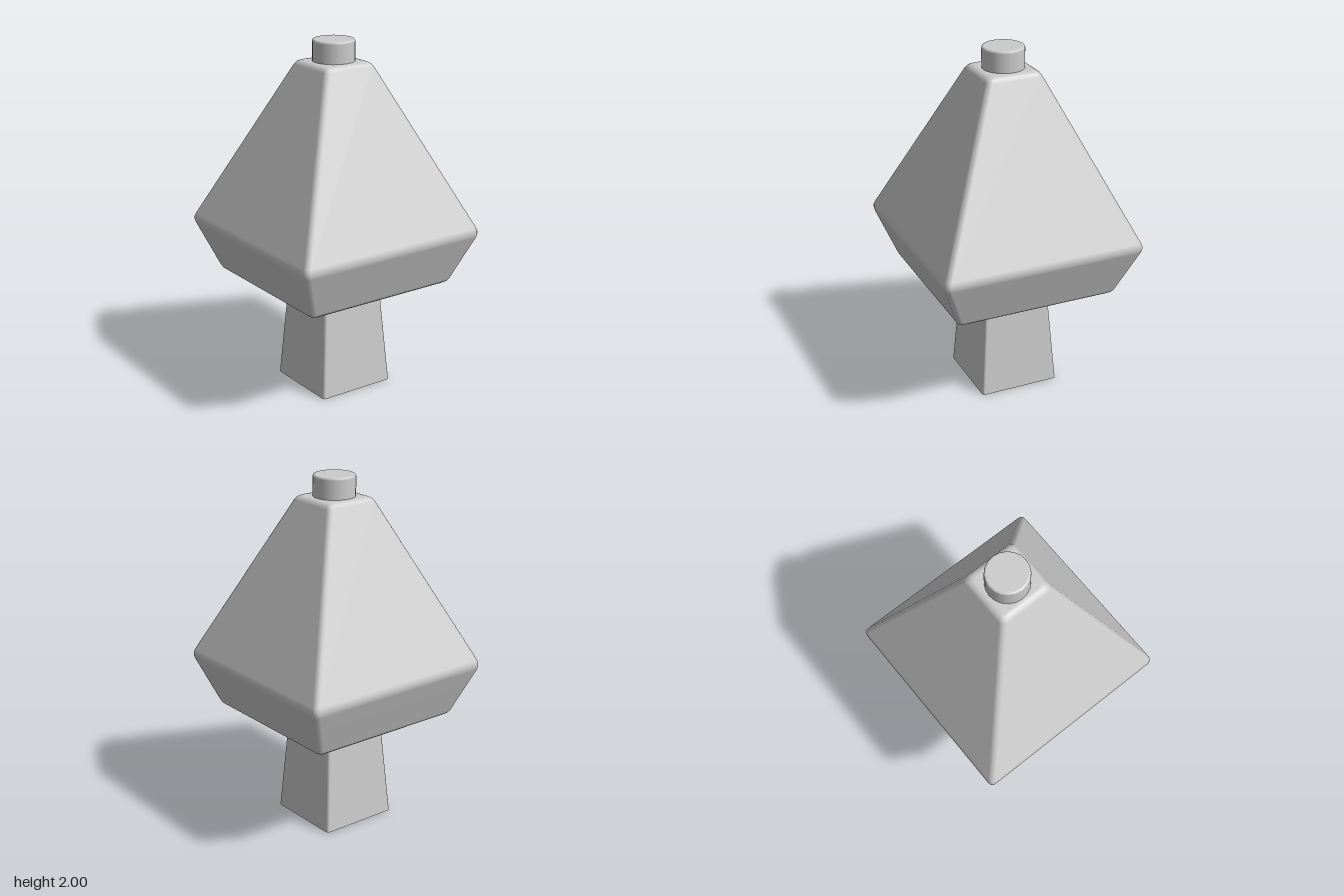
import * as THREE from 'three';

// Rounds each inner corner of a [half width, height] profile, giving [half, y, normalOut, normalUp]
function roundedProfile(points, bevel, steps = 3) {
  const v = points.map(([x, y]) => new THREE.Vector2(x, y));
  const dirs = v.slice(1).map((p, i) => p.clone().sub(v[i]).normalize());
  const rows = [];
  const add = (p, d) => rows.push([p.x, p.y, d.y, -d.x]);
  add(v[0], dirs[0]);
  for (let i = 1; i < v.length - 1; i++) {
    const a = v[i].clone().addScaledVector(dirs[i - 1], -bevel);
    const b = v[i].clone().addScaledVector(dirs[i], bevel);
    const curve = new THREE.QuadraticBezierCurve(a, v[i], b);
    for (let s = 0; s <= steps; s++) add(curve.getPoint(s / steps), curve.getTangent(s / steps));
  }
  add(v[v.length - 1], dirs[dirs.length - 1]);
  return rows;
}

// Lofts a profile through rounded squares; a large corner radius makes a circle
function loft(rows, radius, steps) {
  const pos = [], nor = [], index = [];
  const count = 4 * (steps + 1);
  rows.forEach(([half, y, out, up], i) => {
    const r = Math.min(radius, half);
    for (let k = 0; k < 4; k++) {
      const mid = (k + 0.5) * Math.PI / 2;
      for (let s = 0; s <= steps; s++) {
        const a = (k + s / steps) * Math.PI / 2;
        const c = Math.cos(a), d = Math.sin(a);
        pos.push(Math.sign(Math.cos(mid)) * (half - r) + c * r, y, Math.sign(Math.sin(mid)) * (half - r) + d * r);
        nor.push(c * out, up, d * out);
      }
    }
    if (i === 0) return;
    for (let j = 0; j < count; j++) {
      const n = (j + 1) % count;
      const a = (i - 1) * count + j, b = (i - 1) * count + n;
      const c = i * count + j, d = i * count + n;
      index.push(a, c, b, b, c, d);
    }
  });
  const g = new THREE.BufferGeometry();
  g.setAttribute('position', new THREE.Float32BufferAttribute(pos, 3));
  g.setAttribute('normal', new THREE.Float32BufferAttribute(nor, 3));
  g.setIndex(index);
  return g;
}

export function createModel() {
  const group = new THREE.Group();
  const grey = new THREE.MeshStandardMaterial({ color: 0xcccccc, side: THREE.DoubleSide });
  grey.name = 'light grey';
  const add = (name, geometry) => {
    const mesh = new THREE.Mesh(geometry, grey);
    mesh.name = name;
    group.add(mesh);
  };

  // Tapered square trunk, open at the bottom
  add('trunk', loft(roundedProfile([[0.232, 0], [0.185, 0.64]], 0), 0.014, 3));
  // Crown: flared base below a tall truncated pyramid
  add('crown', loft(roundedProfile([[0, 0.63], [0.467, 0.63], [0.588, 0.937], [0.152, 1.88], [0, 1.88]], 0.03), 0.028, 3));
  // Round knob with a bevelled rim
  add('knob', loft(roundedProfile([[0.118, 1.87], [0.118, 2], [0, 2]], 0.014), 1, 5));

  return group;
}
